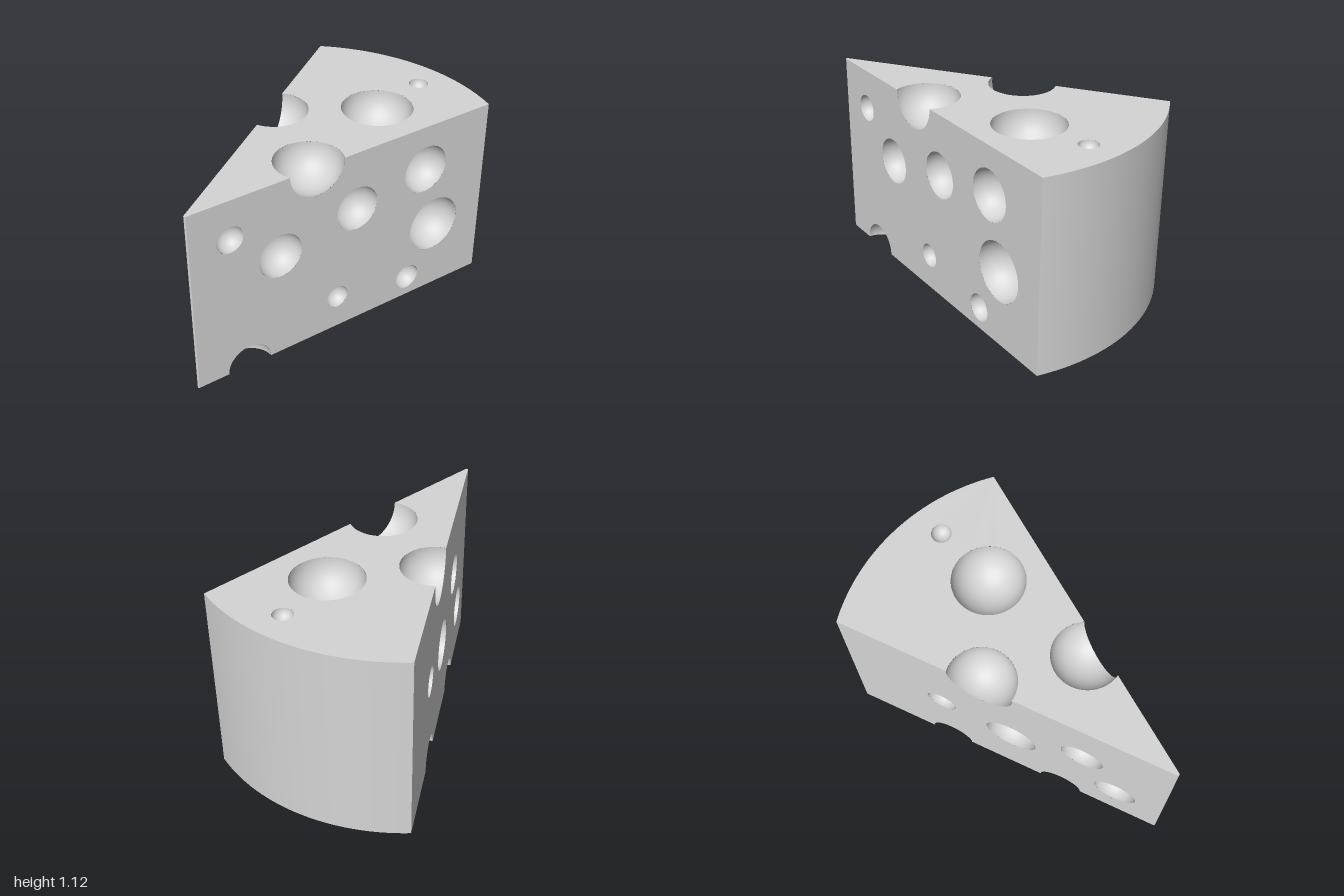
import * as THREE from 'three';

const H = 1.12;                       // height
const HALF = 0.592, BACK = -0.84;     // rear corners
const APEX = 1.018;                   // where the cut faces would meet
const SLOPE = HALF / (APEX - BACK), ALPHA = Math.atan(SLOPE);
const S = Math.sin(ALPHA), C = Math.cos(ALPHA);

// Rounded front edge and curved back
const TIP_R = (APEX - 1) / (1 / S - 1), TIP_Z = 1 - TIP_R, TIP_A = Math.PI / 2 - ALPHA;
const SAG = 1 + BACK, RIND_R = (SAG * SAG + HALF * HALF) / (2 * SAG), RIND_Z = RIND_R - 1;
const RIND_A = Math.asin(HALF / RIND_R), SEG = 40, TIP_SEG = 8;

// Holes on the cut faces: [z, y, radius], x follows from the slanted face
const v3 = (x, y, z) => new THREE.Vector3(x, y, z);
const onSide = (side, list) => list.map(([z, y, r]) => ({ c: v3(side * (APEX - z) * SLOPE, y, z), r }));
const holes = [
  ...onSide(1, [[0.773, 0.885, 0.079], [0.489, 0.657, 0.134], [0.019, 0.765, 0.134], [-0.428, 0.845, 0.145],
    [-0.511, 0.44, 0.172], [0.136, 0.209, 0.07], [-0.342, 0.128, 0.08], [0.692, 0, 0.135]]),
  ...onSide(-1, [[-0.299, 0.561, 0.089], [0.111, 0.493, 0.153], [0.518, 0.695, 0.124], [0.73, 0.317, 0.128],
    [-0.271, 0, 0.128], [0.414, 0, 0.129]]),
  // Holes opening on the top
  { c: v3(0.122, H, -0.426), r: 0.201 },
  { c: v3(0.148, H, -0.804), r: 0.055 },
  { c: v3(0.16, H, 0.24), r: 0.19 },
  { c: v3(-0.314, 1.098, -0.06), r: 0.19 },
];

// Wedge outline as [x, z]: front edge left to right, then back arc right to left
const outline = [];
for (let i = 0; i <= TIP_SEG; i++) {
  const a = TIP_A * (2 * i / TIP_SEG - 1);
  outline.push([TIP_R * Math.sin(a), TIP_Z + TIP_R * Math.cos(a)]);
}
for (let i = 0; i <= SEG; i++) {
  const a = RIND_A * (1 - 2 * i / SEG);
  outline.push([RIND_R * Math.sin(a), RIND_Z - RIND_R * Math.cos(a)]);
}

// Flat faces: origin, in-plane axes and counter-clockwise outline
const [tipX, tipZ] = outline[TIP_SEG];
const LEN = Math.hypot(HALF - tipX, tipZ - BACK);
const rect = [[0, 0], [LEN, 0], [LEN, H], [0, H]];
const faces = [
  { name: 'topFace', o: v3(0, H, 0), u: v3(1, 0, 0), v: v3(0, 0, -1), pts: outline.map(([x, z]) => [x, -z]) },
  { name: 'bottomFace', o: v3(0, 0, 0), u: v3(1, 0, 0), v: v3(0, 0, 1), pts: outline.slice().reverse() },
  { name: 'leftCutFace', o: v3(tipX, 0, tipZ), u: v3(S, 0, -C), v: v3(0, 1, 0), pts: rect },
  { name: 'rightCutFace', o: v3(-HALF, 0, BACK), u: v3(S, 0, C), v: v3(0, 1, 0), pts: rect },
];
for (const f of faces) f.n = f.u.clone().cross(f.v);

// Flat face with round holes, and bites where a hole crosses an edge
function faceGeometry({ o, u, v, n, pts }) {
  const circles = [];
  for (const { c, r } of holes) {
    const p = c.clone().sub(o), d = p.dot(n);
    if (Math.abs(d) < r - 1e-4) circles.push({ x: p.dot(u), y: p.dot(v), r: Math.sqrt(r * r - d * d) });
  }
  const shape = new THREE.Shape();
  shape.moveTo(...pts[0]);
  pts.forEach(([ax, ay], i) => {
    const [bx, by] = pts[(i + 1) % pts.length];
    const len = Math.hypot(bx - ax, by - ay), ex = (bx - ax) / len, ey = (by - ay) / len;
    const bites = [];
    for (const k of circles) {
      const t = (k.x - ax) * ex + (k.y - ay) * ey;
      const d = (k.x - ax) * -ey + (k.y - ay) * ex;
      if (Math.abs(d) >= k.r) continue;
      const h = Math.sqrt(k.r * k.r - d * d);
      if (t - h > 0 && t + h < len) bites.push({ k, t, h });
    }
    bites.sort((a, b) => a.t - b.t);
    for (const { k, t, h } of bites) {
      k.bite = true;
      const angle = (s) => Math.atan2(ay + ey * s - k.y, ax + ex * s - k.x);
      shape.lineTo(ax + ex * (t - h), ay + ey * (t - h));
      shape.absarc(k.x, k.y, k.r, angle(t - h), angle(t + h), true);
    }
    shape.lineTo(bx, by);
  });
  for (const k of circles) {
    if (!k.bite) shape.holes.push(new THREE.Path().absarc(k.x, k.y, k.r, 0, Math.PI * 2, true));
  }
  const g = new THREE.ShapeGeometry(shape, 48);
  return g.applyMatrix4(new THREE.Matrix4().makeBasis(u, v, n).setPosition(o));
}

// Keep the part of a polygon behind a plane
function clip(poly, { o, n }) {
  const out = [];
  poly.forEach((a, i) => {
    const b = poly[(i + 1) % poly.length];
    const da = a.clone().sub(o).dot(n), db = b.clone().sub(o).dot(n);
    if (da <= 0) out.push(a);
    if ((da < 0 && db > 0) || (da > 0 && db < 0)) out.push(a.clone().lerp(b, da / (da - db)));
  });
  return out;
}

// Inward-facing sphere surface, trimmed to the wedge
function hollowGeometry({ c, r }) {
  const ball = new THREE.SphereGeometry(r, 48, 32).toNonIndexed().translate(c.x, c.y, c.z);
  const p = ball.attributes.position, pos = [], nor = [];
  for (let i = 0; i < p.count; i += 3) {
    let poly = [2, 1, 0].map((j) => new THREE.Vector3().fromBufferAttribute(p, i + j));
    for (const f of faces) poly = clip(poly, f);
    for (let j = 1; j + 1 < poly.length; j++) {
      for (const q of [poly[0], poly[j], poly[j + 1]]) {
        pos.push(q.x, q.y, q.z);
        nor.push(...c.clone().sub(q).normalize().toArray());
      }
    }
  }
  const g = new THREE.BufferGeometry();
  g.setAttribute('position', new THREE.Float32BufferAttribute(pos, 3));
  g.setAttribute('normal', new THREE.Float32BufferAttribute(nor, 3));
  return g;
}

// Upright curved wall centred on the given direction
function wall(r, seg, middle, halfAngle, z) {
  return new THREE.CylinderGeometry(r, r, H, seg, 1, true, middle - halfAngle, 2 * halfAngle).translate(0, H / 2, z);
}

export function createModel() {
  const group = new THREE.Group();
  group.name = 'cheeseWedge';
  const cheese = new THREE.MeshStandardMaterial({ color: 0xd5d5d5 });
  cheese.name = 'cheese';
  const add = (name, geometry) => {
    const mesh = new THREE.Mesh(geometry, cheese);
    mesh.name = name;
    group.add(mesh);
  };

  for (const f of faces) add(f.name, faceGeometry(f));
  add('rind', wall(RIND_R, SEG, Math.PI, RIND_A, RIND_Z));
  add('frontEdge', wall(TIP_R, TIP_SEG, 0, TIP_A, TIP_Z));
  holes.forEach((h, i) => add('hole' + (i + 1), hollowGeometry(h)));
  return group;
}
